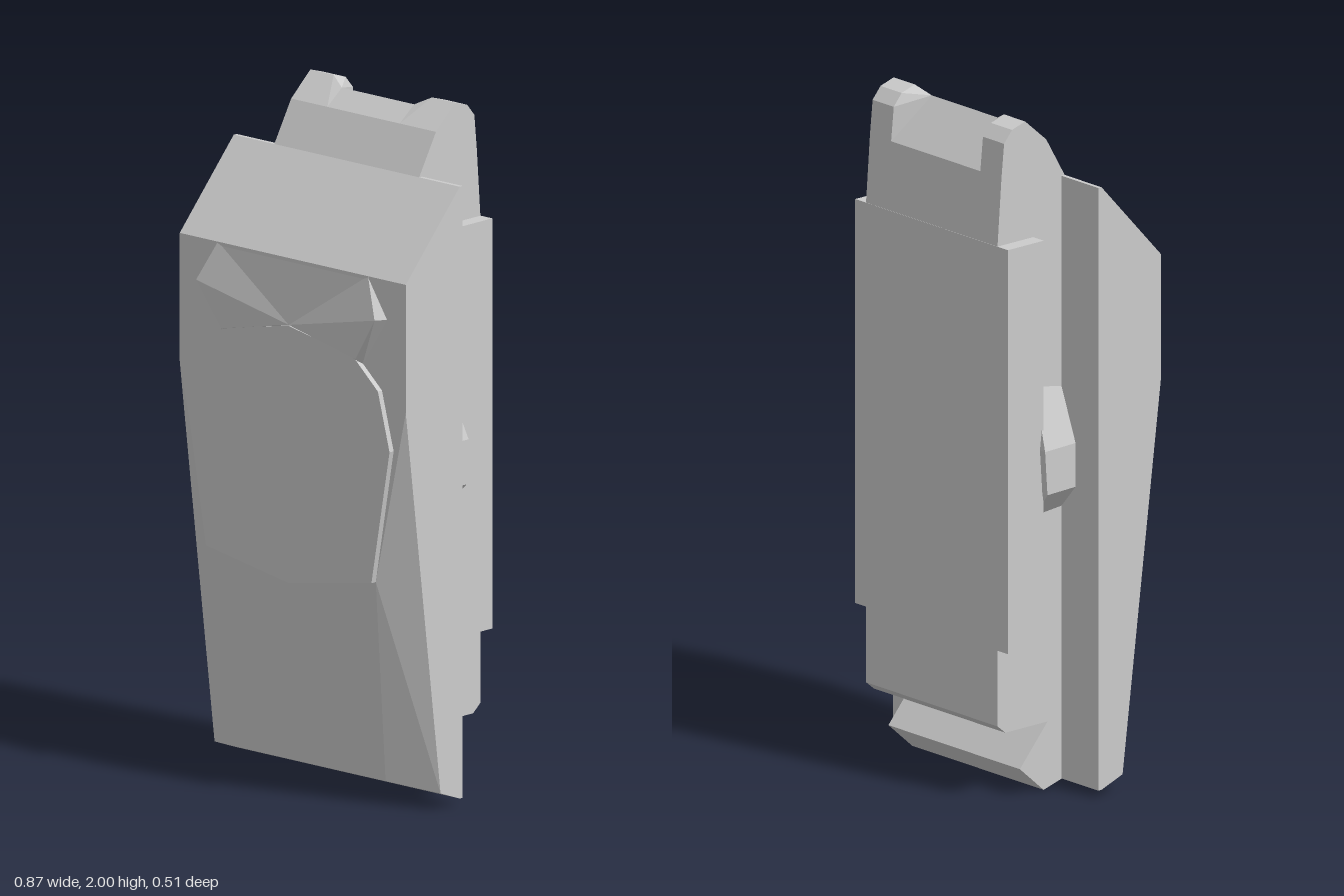
import * as THREE from 'three';
import { ConvexGeometry } from 'three/addons/geometries/ConvexGeometry.js';

const material = new THREE.MeshStandardMaterial({ color: 0xcccccc, flatShading: true });

function add(group, name, geometry) {
  const mesh = new THREE.Mesh(geometry, material);
  mesh.name = name;
  group.add(mesh);
  return mesh;
}

const shapeOf = (points) => new THREE.Shape(points.map(([a, b]) => new THREE.Vector2(a, b)));
const extrude = (points, depth) =>
  new THREE.ExtrudeGeometry(shapeOf(points), { depth, bevelEnabled: false });

// Side profile of [z, y] points, extruded across x and centred
function extrudeAcross(points, width) {
  return extrude(points, width).translate(0, 0, -width / 2).rotateY(-Math.PI / 2);
}

// Convex solid from points, each given on both sides of x = 0
function mirroredHull(points) {
  const all = [];
  for (const [x, y, z] of points) {
    all.push(new THREE.Vector3(x, y, z));
    if (x !== 0) all.push(new THREE.Vector3(-x, y, z));
  }
  return new ConvexGeometry(all);
}

// Faceted brow: triangles for the +x half, repeated with reversed order for -x
function browGeometry() {
  const top = [0.29, 1.565, 0.224], tip = [0.345, 1.45, 0.256];
  const low = [0.26, 1.32, 0.244], mid = [0, 1.375, 0.242], topMid = [0, 1.565, 0.224];
  const tipBase = [0.365, 1.45, 0.224], lowBase = [0.268, 1.3, 0.224], midBase = [0, 1.368, 0.224];
  const half = [
    [topMid, mid, top], [top, mid, tip], [tip, mid, low],
    [top, tip, tipBase], [tip, low, lowBase], [tip, lowBase, tipBase],
    [low, mid, midBase], [low, midBase, lowBase],
  ];
  const positions = [];
  for (const [a, b, c] of half) {
    positions.push(...a, ...b, ...c);
    for (const [x, y, z] of [a, c, b]) positions.push(-x, y, z);
  }
  const geometry = new THREE.BufferGeometry();
  geometry.setAttribute('position', new THREE.Float32BufferAttribute(positions, 3));
  geometry.computeVertexNormals();
  return geometry;
}

export function createModel() {
  const model = new THREE.Group();
  model.name = 'clipModule';

  // Front housing with sloped top and tapering lower corners
  add(model, 'frontHousing', mirroredHull([
    [0.437, 1.81, -0.012], [0.437, 1.81, 0], [0.437, 1.565, 0.225], [0.437, 1.19, 0.225],
    [0.32, 0.675, 0.224], [0, 0.62, 0.225], [0.28, 0.07, 0.14],
    [0.437, 0.05, 0.08], [0.437, 0.02, 0], [0.437, 0.02, -0.012],
  ]));

  // Raised pad on the front
  const right = [[0.32, 0.675], [0.39, 1.07], [0.345, 1.24], [0.25, 1.325]];
  const left = right.map(([x, y]) => [-x, y]).reverse();
  add(model, 'frontPad', extrude([[0, 0.62], ...right, [0, 1.372], ...left], 0.042))
    .position.z = 0.2;

  add(model, 'brow', browGeometry());

  // Rear core with bottom hook and lowered top edge
  add(model, 'rearCore', extrudeAcross([
    [0.02, 0.028], [0.02, 1.788], [0, 1.81], [-0.07, 1.93], [-0.13, 1.975], [-0.24, 1.85],
    [-0.255, 1.65], [-0.255, 0.225], [-0.225, 0.2], [-0.065, 0.2], [-0.17, 0.08], [-0.08, 0],
  ], 0.56));

  // Rounded ears on either side of the top notch
  for (const s of [-1, 1]) {
    const ear = [
      [0.28, 1.93, -0.07], [0.28, 2, -0.15], [0.28, 1.985, -0.2], [0.28, 1.95, -0.23],
      [0.28, 1.85, -0.24], [0.14, 1.93, -0.07], [0.14, 1.975, -0.13], [0.19, 2, -0.15],
      [0.19, 1.985, -0.2], [0.19, 1.95, -0.23], [0.19, 1.85, -0.24],
    ].map(([x, y, z]) => new THREE.Vector3(s * x, y, z));
    add(model, s > 0 ? 'leftEar' : 'rightEar', new ConvexGeometry(ear));
  }

  // Wider plate over the back
  add(model, 'backPlate', new THREE.BoxGeometry(0.65, 1.2, 0.136)).position.set(0, 1.05, -0.188);

  // Bulging side grips
  for (const s of [-1, 1]) {
    const grip = [];
    for (const [x, y, zBack] of [[0.27, 1.23, -0.11], [0.347, 1.03, -0.134], [0.347, 0.9, -0.125], [0.27, 0.81, -0.11]]) {
      grip.push(new THREE.Vector3(s * x, y, zBack));
      grip.push(new THREE.Vector3(s * (x - 0.008), y, 0));
      grip.push(new THREE.Vector3(s * 0.25, y, zBack));
    }
    add(model, s > 0 ? 'leftGrip' : 'rightGrip', new ConvexGeometry(grip));
  }

  return model;
}
